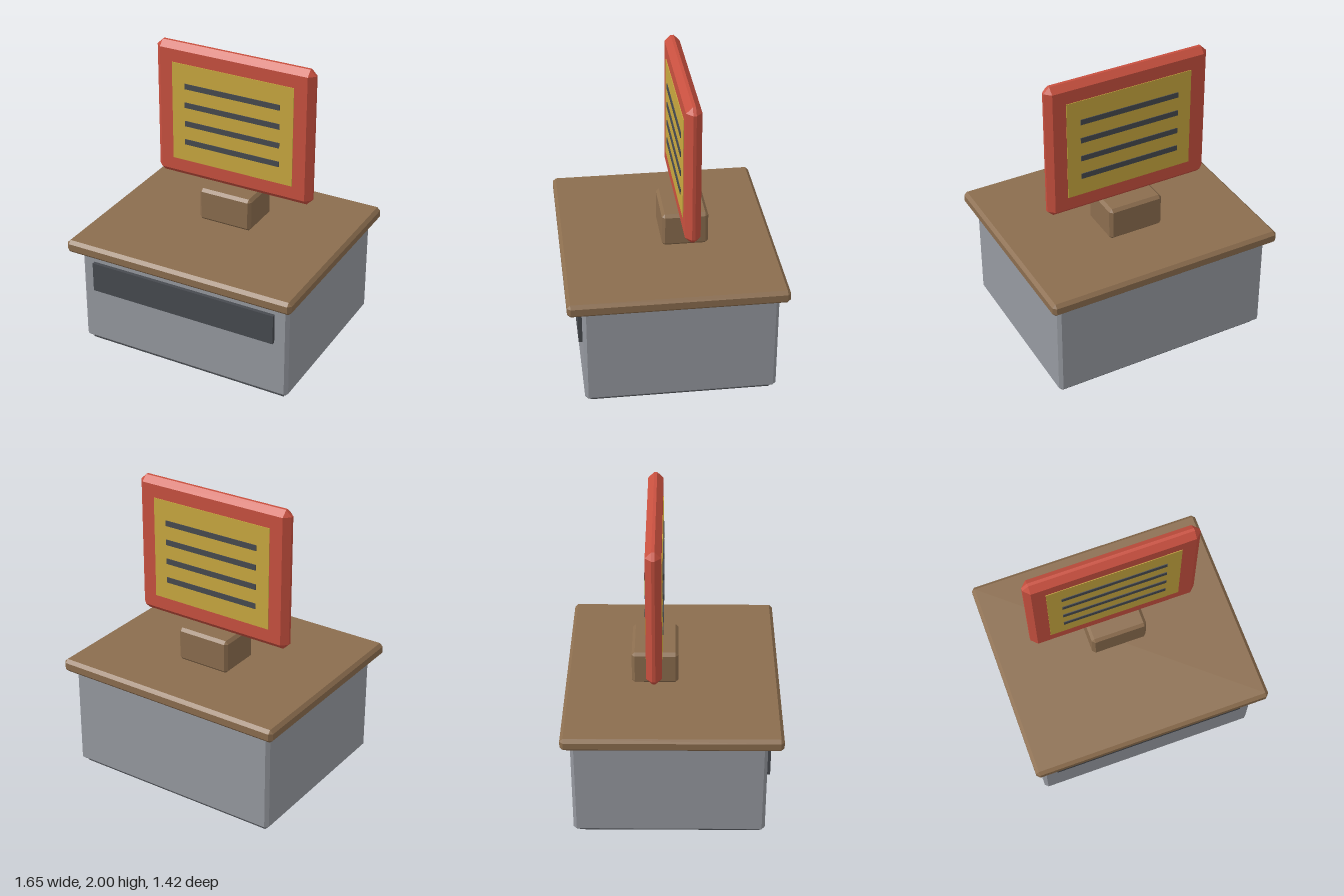
import * as THREE from 'three';
import { ConvexGeometry } from 'three/addons/geometries/ConvexGeometry.js';

const material = (name, color) => {
  const m = new THREE.MeshStandardMaterial({ color });
  m.name = name;
  return m;
};

// Box with flat bevels on every edge: each corner becomes three points
function bevelBox(w, h, d, c) {
  const x = w / 2, y = h / 2, z = d / 2, points = [];
  for (const i of [-1, 1]) for (const j of [-1, 1]) for (const k of [-1, 1]) {
    points.push(
      new THREE.Vector3(i * x, j * (y - c), k * (z - c)),
      new THREE.Vector3(i * (x - c), j * y, k * (z - c)),
      new THREE.Vector3(i * (x - c), j * (y - c), k * z));
  }
  return new ConvexGeometry(points);
}

export function createModel() {
  const group = new THREE.Group();
  group.name = 'counterWithSign';

  const grey = material('cabinet grey', 0x9699a0);
  const dark = material('dark grey', 0x474a4f);
  const wood = material('wood brown', 0x8b6d4e);
  const red = material('sign red', 0xc8503f);
  const yellow = material('panel yellow', 0xc9a83f);

  // Adds a box spanning the given y and z ranges, centred on x
  const add = (name, mat, w, [y0, y1], [z0, z1], bevel = 0) => {
    const h = y1 - y0, d = z1 - z0;
    const geometry = bevel ? bevelBox(w, h, d, bevel) : new THREE.BoxGeometry(w, h, d);
    const mesh = new THREE.Mesh(geometry, mat);
    mesh.name = name;
    mesh.position.set(0, (y0 + y1) / 2, (z0 + z1) / 2);
    group.add(mesh);
  };

  // Counter
  add('plinth', dark, 1.46, [0, 0.06], [-0.612, 0.578]);
  add('cabinet', grey, 1.536, [0.02, 0.716], [-0.65, 0.612], 0.022);
  add('frontRecessPanel', dark, 1.344, [0.425, 0.635], [0.6, 0.637]);
  add('countertop', wood, 1.65, [0.716, 0.806], [-0.71, 0.71], 0.022);

  // Sign and its foot
  add('signFoot', wood, 0.386, [0.806, 1.04], [-0.27, 0.038], 0.02);
  add('signBoard', red, 1.152, [1.04, 2], [-0.166, -0.066], 0.04);

  // Display panel and text bars on both faces of the sign
  for (const [side, face, s] of [['front', -0.066, 1], ['back', -0.166, -1]]) {
    const layer = (a, b) => [face + s * a, face + s * b].sort((p, q) => p - q);
    add(side + 'DisplayPanel', yellow, 0.89, [1.17, 1.87], layer(-0.003, 0.004));
    for (let i = 0; i < 4; i++) {
      const y = 1.31 + i * 0.135;
      add(side + 'Bar' + (i + 1), dark, 0.7, [y - 0.019, y + 0.019], layer(0.001, 0.009));
    }
  }
  return group;
}
